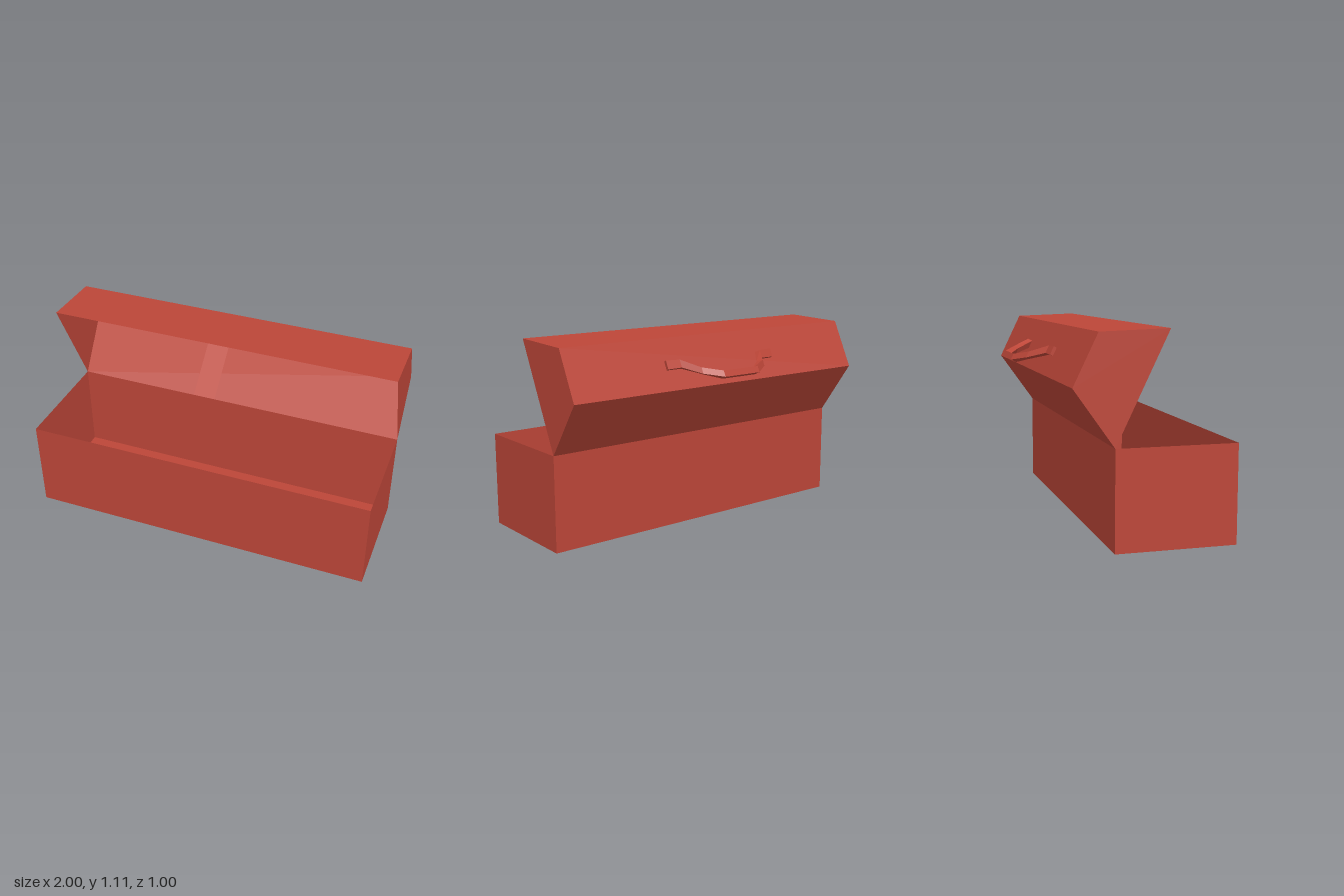
import * as THREE from 'three';

const red = new THREE.MeshStandardMaterial({ color: 0xbc4638, side: THREE.DoubleSide });
red.name = 'red paint';

// Flat-faced mesh from a list of polygons (arrays of Vector3)
function polyMesh(name, polys) {
  const pts = [];
  for (const p of polys)
    for (let i = 1; i < p.length - 1; i++) pts.push(p[0], p[i], p[i + 1]);
  const geo = new THREE.BufferGeometry().setFromPoints(pts);
  geo.computeVertexNormals();
  const mesh = new THREE.Mesh(geo, red);
  mesh.name = name;
  return mesh;
}

// Thin open shell: a [z, y] profile run along x, closed at both ends
function shell(name, profile) {
  const side = x => profile.map(([z, y]) => new THREE.Vector3(x, y, z));
  const l = side(-1), r = side(1);
  const polys = [r, [...l].reverse()];
  for (let i = 0; i < l.length - 1; i++) polys.push([l[i], l[i + 1], r[i + 1], r[i]]);
  return polyMesh(name, polys);
}

// Carry handle: square bar swept through mirrored stations
function handle() {
  const U = new THREE.Vector3(0, -0.9, -0.43);   // down along the lid face
  const W = new THREE.Vector3(0, 0.43, -0.9);    // out from the lid face
  const foot = new THREE.Vector3(0.01, 0.962, -0.311);
  const bar = new THREE.Vector3(0.01, 0.908, -0.475);
  // [x, fraction of reach, half thickness, half width]
  const half = [[0.38, 0, 0.01, 0.025], [0.285, 0.02, 0.016, 0.023],
    [0.21, 0.62, 0.018, 0.018], [0.12, 1, 0.018, 0.018]];
  const path = [...half.map(([x, ...s]) => [-x, ...s]), ...[...half].reverse()];
  const reach = foot.distanceTo(bar);
  const rings = path.map(([x, f, t, w], i) => {
    const a = path[Math.max(i - 1, 0)], b = path[Math.min(i + 1, path.length - 1)];
    const tan = new THREE.Vector2(b[0] - a[0], (b[1] - a[1]) * reach).normalize();
    const N = W.clone().multiplyScalar(tan.x);
    N.x = -tan.y;
    const c = foot.clone().lerp(bar, f);
    c.x += x;
    return [[1, -1], [1, 1], [-1, 1], [-1, -1]].map(([u, n]) =>
      c.clone().addScaledVector(U, u * w).addScaledVector(N, n * t));
  });
  const polys = [[...rings[0]].reverse(), rings[rings.length - 1]];
  for (let i = 0; i < rings.length - 1; i++)
    for (let k = 0; k < 4; k++) {
      const m = (k + 1) % 4;
      polys.push([rings[i][k], rings[i][m], rings[i + 1][m], rings[i + 1][k]]);
    }
  return polyMesh('handle', polys);
}

export function createModel() {
  const group = new THREE.Group();
  group.name = 'toolbox';
  // Open tray
  group.add(shell('tray', [[0.5, 0.53], [0.5, 0], [-0.15, 0], [-0.15, 0.53]]));
  // Raised lid, hinged on the back edge of the tray
  const lid = new THREE.Group();
  lid.name = 'lid';
  lid.add(shell('lidShell', [[-0.15, 0.53], [-0.365, 0.832], [-0.235, 1.1], [0.13, 1.112]]));
  // Latch flap hanging from the lid's front edge
  const v = (x, y, z) => new THREE.Vector3(x, y, z);
  lid.add(polyMesh('latch', [[v(-0.055, 1.112, 0.13), v(-0.055, 0.91, 0.345),
    v(0.065, 0.91, 0.345), v(0.065, 1.112, 0.13)]]));
  lid.add(handle());
  group.add(lid);
  return group;
}
